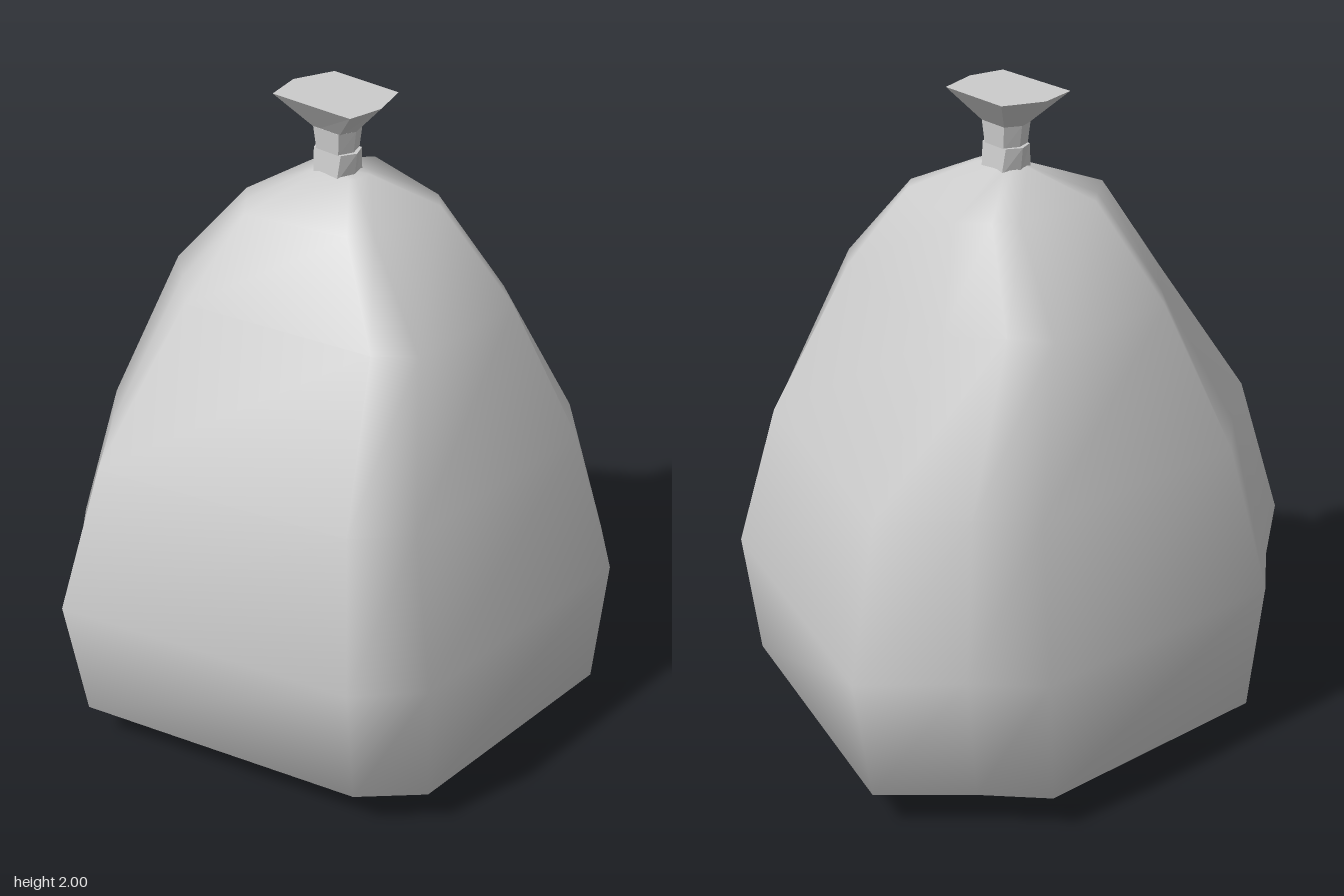
import * as THREE from 'three';

// Skins a stack of rings (arrays of [x, y, z], running front -> +x -> back) and closes both ends.
function loft(rings) {
  const n = rings[0].length, pos = [], index = [];
  const centre = (ring) => [0, 1, 2].map((k) => ring.reduce((s, p) => s + p[k], 0) / n);
  rings.forEach((ring) => ring.forEach((p) => pos.push(...p)));
  const last = (rings.length - 1) * n, low = rings.length * n, high = low + 1;
  pos.push(...centre(rings[0]), ...centre(rings[rings.length - 1]));
  for (let j = 0; j < n; j++) {
    const k = (j + 1) % n;
    for (let i = 0; i < rings.length - 1; i++) {
      const a = i * n + j, b = i * n + k;
      index.push(a, b, b + n, a, b + n, a + n);
    }
    index.push(low, k, j, high, last + j, last + k);
  }
  const geo = new THREE.BufferGeometry();
  geo.setAttribute('position', new THREE.Float32BufferAttribute(pos, 3));
  geo.setIndex(index);
  geo.computeVertexNormals();
  return geo;
}

export function createModel() {
  const group = new THREE.Group();
  const smooth = new THREE.MeshStandardMaterial({ color: 0xcccccc });
  const flat = new THREE.MeshStandardMaterial({ color: 0xcccccc, flatShading: true });
  const add = (name, geo, mat) => {
    const mesh = new THREE.Mesh(geo, mat);
    mesh.name = name;
    group.add(mesh);
  };

  // Bag: one mirrored cross-section, scaled level by level
  const half = [[0.43, 0.72], [0.6, 0.56], [0.85, -0.36], [0.6, -0.56], [0.43, -0.72]];
  const section = [...half, ...half.slice().reverse().map(([x, z]) => [-x, z])];
  const levels = [ // y, x scale, z scale
    [0, 0.63, 0.75], [0.12, 0.92, 0.97], [0.52, 1, 1], [0.97, 0.85, 0.85],
    [1.42, 0.49, 0.66], [1.69, 0.33, 0.345], [1.775, 0.065, 0.11],
  ];
  add('bagBody', loft(levels.map(([y, sx, sz]) =>
    section.map(([x, z]) => [x * sx, y, z * sz]))), smooth);

  // Hexagonal ring with points towards front and back
  const hex = (y, w, d, z = -0.018) => [[0, 1], [1, 0.7], [1, -0.7], [0, -1], [-1, -0.7], [-1, 0.7]]
    .map(([a, b]) => [a * w, y, z + b * d]);

  // Gathered neck in two tied bands
  add('neckLower', loft([hex(1.76, 0.055, 0.064), hex(1.84, 0.045, 0.074)]), flat);
  add('neckUpper', loft([hex(1.835, 0.045, 0.06), hex(1.905, 0.05, 0.07)]), flat);

  // Flared, slightly uneven tuft above the tie
  const rim = [[0, 0.145], [0.125, 0.1], [0.125, -0.145], [0, -0.19], [-0.12, -0.157], [-0.113, 0.13]];
  add('tuft', loft([hex(1.895, 0.042, 0.06), rim.map(([x, z]) => [x, 2, z])]), flat);

  return group;
}
